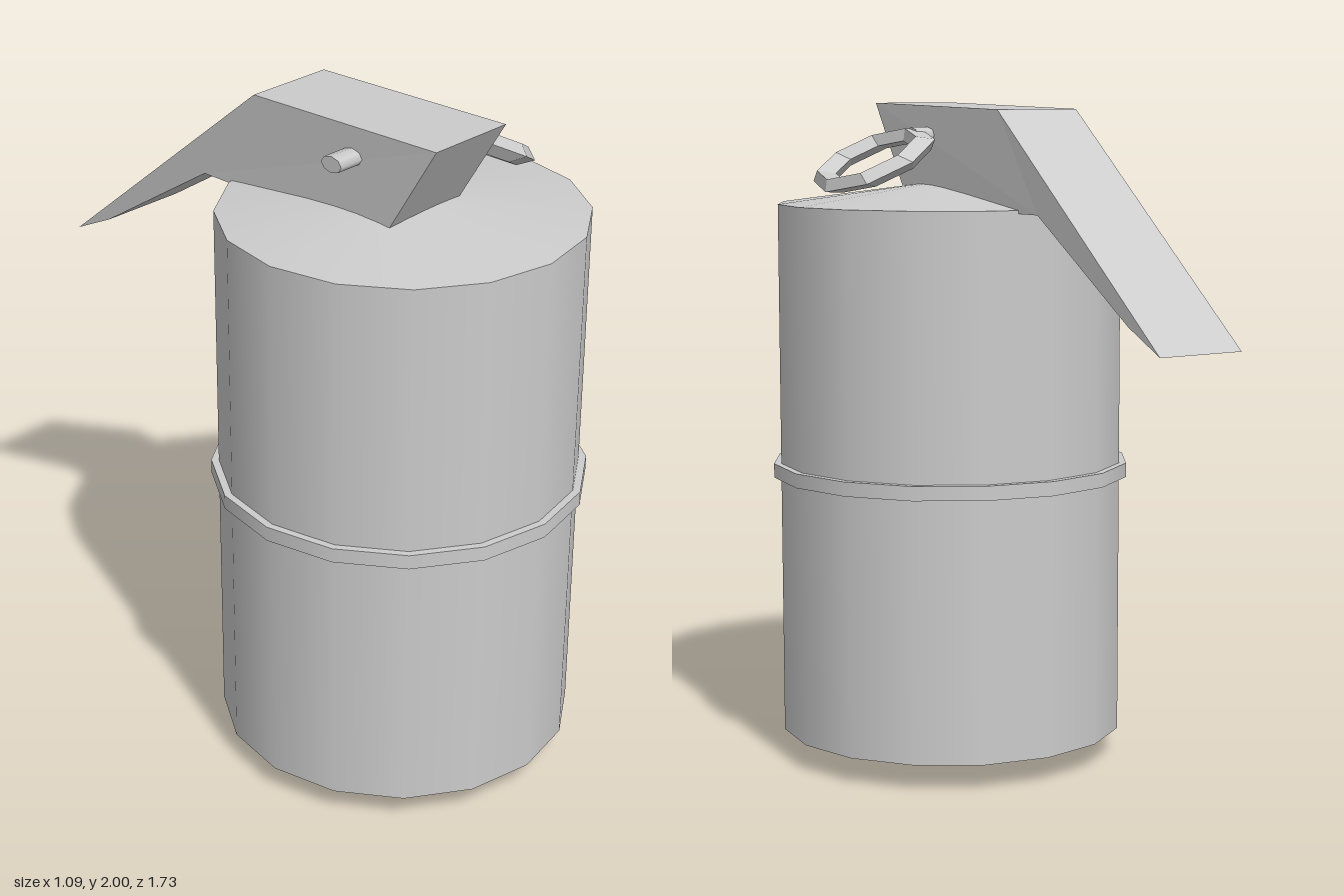
import * as THREE from 'three';

const grey = new THREE.MeshStandardMaterial({ color: 0xcccccc });
const flatGrey = new THREE.MeshStandardMaterial({ color: 0xcccccc, flatShading: true });

const SIDES = 16;
const RADIUS = 0.525;
const AXIS_Z = 0.32;   // centre line of the canister
const SQUASH = 0.64;   // pin and ring are flattened vertically

function add(parent, name, geometry, material) {
  const mesh = new THREE.Mesh(geometry, material);
  mesh.name = name;
  parent.add(mesh);
  return mesh;
}

// Canister: smooth wall, shallow cone at each end, raised band
function makeCanister() {
  const canister = new THREE.Group();
  canister.name = 'canister';
  canister.position.z = AXIS_Z;
  const ring = (name, rTop, rBottom, y0, y1, open = true) =>
    add(canister, name, new THREE.CylinderGeometry(rTop, rBottom, y1 - y0, SIDES, 1, open), grey)
      .position.y = (y0 + y1) / 2;
  ring('wall', RADIUS, RADIUS, 0.08, 1.7);
  ring('topCone', 0, RADIUS, 1.7, 1.77);
  ring('bottomCone', RADIUS, 0, 0, 0.08);
  ring('band', 0.547, 0.547, 0.87, 0.913, false);
  return canister;
}

// Lever: side profile (z, y) extruded across x, tail drifting slightly sideways
function makeLeverGeometry() {
  const profile = [
    [0.6, 2], [-0.07, 1.985], [-0.865, 1.34], [-0.72, 1.41], [-0.28, 1.69], [0.41, 1.69],
  ].map(([z, y]) => new THREE.Vector2(z, y));
  const geometry = new THREE.ExtrudeGeometry(new THREE.Shape(profile), { depth: 0.28, bevelEnabled: false });
  geometry.rotateY(-Math.PI / 2).translate(0.09, 0, 0);
  const p = geometry.attributes.position;
  for (let i = 0; i < p.count; i++) {
    p.setX(i, p.getX(i) + 0.019 * Math.max(0, (-0.07 - p.getZ(i)) / 0.795));
  }
  geometry.computeVertexNormals();
  return geometry;
}

export function createModel() {
  const model = new THREE.Group();
  model.name = 'canisterWithLever';
  model.add(makeCanister());
  add(model, 'lever', makeLeverGeometry(), flatGrey);

  // Safety pin through the lever head
  const pin = new THREE.CylinderGeometry(0.037, 0.037, 0.42, 8);
  pin.rotateZ(Math.PI / 2).scale(1, SQUASH, 1).translate(-0.06, 1.906, 0.3);
  add(model, 'pin', pin, grey);

  // Pull ring hanging from the pin's left end
  const ring = new THREE.TorusGeometry(0.177, 0.041, 4, 8);
  ring.rotateX(Math.PI / 2).rotateZ(-0.7).scale(1, SQUASH, 1).translate(0.275, 1.833, 0.31);
  add(model, 'pullRing', ring, flatGrey);

  return model;
}
